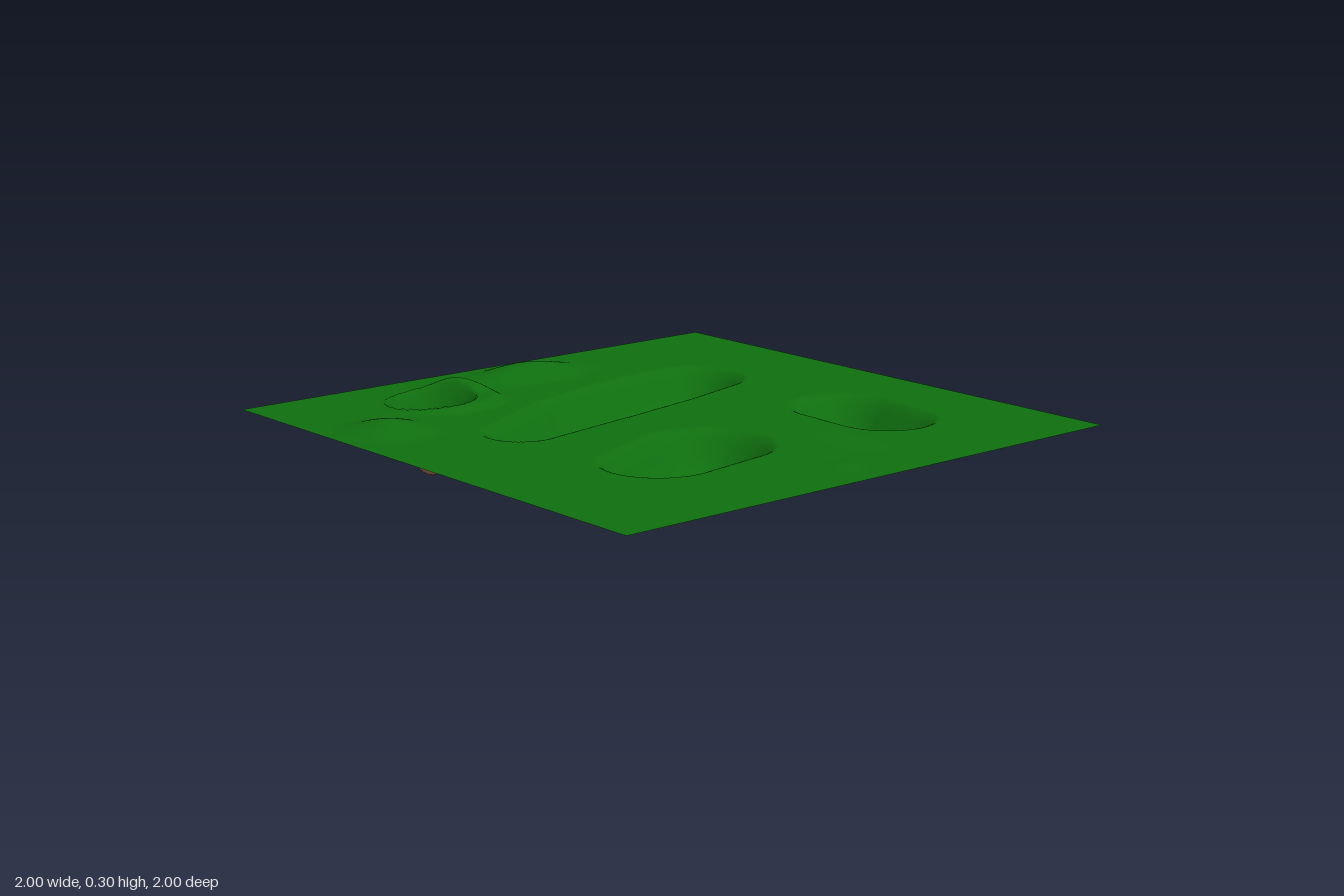
import * as THREE from 'three';

const GROUND = 0.25;
const smooth = (a, b, v) => THREE.MathUtils.smoothstep(v, a, b);

// Sunken hollows: spine points [x, z, radius]
const hollows = [
  [[-0.48, -0.15, 0.14], [-0.1, -0.28, 0.2], [0.2, -0.35, 0.21], [0.47, -0.4, 0.19]],
  [[-0.4, 0.43, 0.2], [-0.14, 0.36, 0.23]],
  [[0.56, 0.27, 0.2], [0.54, 0.46, 0.19]],
];

// Gentle hills: [x, z, radiusX, radiusZ, height]
const hills = [
  [-0.8, -0.44, 0.2, 0.2, 0.035],
  [0.05, -0.82, 0.32, 0.18, 0.042],
  [0.22, 0.4, 0.18, 0.5, 0.014],
  [0, 0.83, 0.08, 0.09, 0.008],
  [-0.3, -0.75, 0.13, 0.16, 0.03],
];

// How far inside a hollow a point lies (0 at the rim, positive inside)
function insideHollow(spine, x, z) {
  let best = -1;
  for (let i = 0; i + 1 < spine.length; i++) {
    const [ax, az, ar] = spine[i], [bx, bz, br] = spine[i + 1];
    const dx = bx - ax, dz = bz - az;
    const t = THREE.MathUtils.clamp(((x - ax) * dx + (z - az) * dz) / (dx * dx + dz * dz), 0, 1);
    const d = Math.hypot(x - ax - t * dx, z - az - t * dz);
    best = Math.max(best, ar + (br - ar) * t - d);
  }
  return best;
}

function heightAt(x, z) {
  let y = GROUND;
  for (const [cx, cz, rx, rz, h] of hills) {
    const d = Math.hypot((x - cx) / rx, (z - cz) / rz);
    y += h * (1 - smooth(0, 1, d));
  }
  // low collar around the pit
  const collar = Math.hypot((x + 0.42) / 0.23, (z + 0.66) / 0.2);
  y += 0.02 * (1 - smooth(0.75, 1, collar));
  // flat-bottomed hollows
  for (const spine of hollows) {
    const k = smooth(0, 0.14, insideHollow(spine, x, z));
    y += (GROUND / 2 - y) * k;
  }
  // deep cone-shaped pit with a rounded tip
  const d = Math.hypot((x + 0.465) / 0.155, (z + 0.675) / 0.15);
  if (d < 1) {
    const k = d < 0.3 ? 1 - 0.1 * (d / 0.3) ** 2 : 0.9 * (1 - (d - 0.3) / 0.7);
    y *= 1 - k;
  }
  return y;
}

// Rounded rectangle of bare earth inside the pit
function isEarth(x, z) {
  const qx = Math.max(Math.abs(x + 0.495) - 0.025, 0);
  const qz = Math.max(Math.abs(z + 0.68) - 0.05, 0);
  return Math.hypot(qx, qz) < 0.032;
}

export function createModel() {
  const group = new THREE.Group();
  group.name = 'terrain';

  const plane = new THREE.PlaneGeometry(2, 2, 170, 170).rotateX(-Math.PI / 2);
  const pos = plane.attributes.position;
  for (let i = 0; i < pos.count; i++) pos.setY(i, heightAt(pos.getX(i), pos.getZ(i)));
  plane.computeVertexNormals();

  // Sort the triangles into grass and earth
  const grass = [], earth = [];
  const index = plane.index.array;
  for (let i = 0; i < index.length; i += 3) {
    const tri = [index[i], index[i + 1], index[i + 2]];
    const x = tri.reduce((s, v) => s + pos.getX(v), 0) / 3;
    const z = tri.reduce((s, v) => s + pos.getZ(v), 0) / 3;
    (isEarth(x, z) ? earth : grass).push(...tri);
  }

  const addPart = (name, triangles, color) => {
    const geometry = plane.clone();
    geometry.setIndex(triangles);
    const material = new THREE.MeshStandardMaterial({ color, side: THREE.DoubleSide });
    const mesh = new THREE.Mesh(geometry, material);
    mesh.name = name;
    group.add(mesh);
  };
  addPart('grassGround', grass, 0x0f6f0f);
  addPart('earthPit', earth, 0x9c6a50);
  return group;
}
